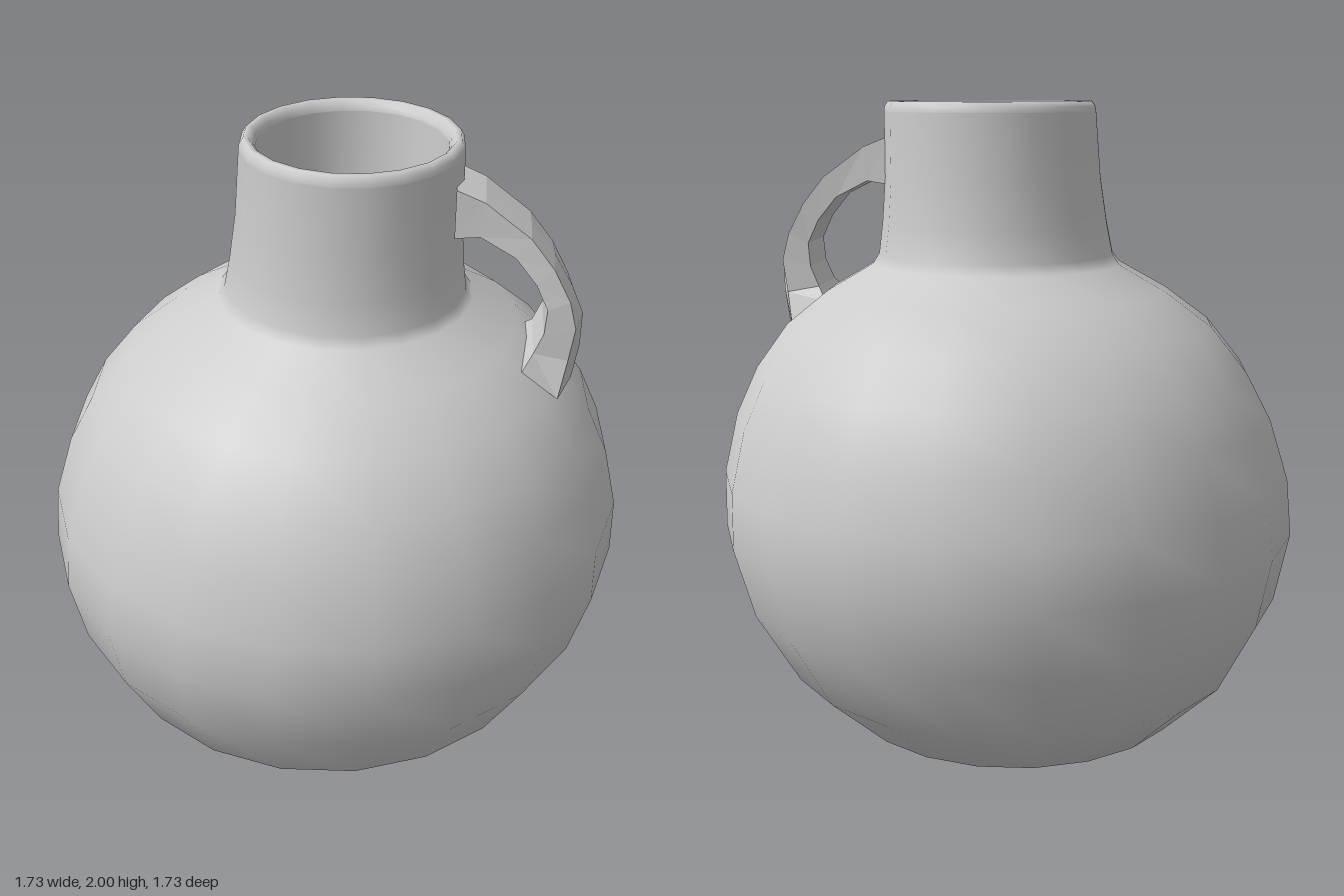
import * as THREE from 'three';

const SEGMENTS = 20;
const PHI = THREE.MathUtils.degToRad(12);

// Lathe a [radius, height] profile, leaning slightly toward +x with height
function leaningLathe(profile) {
  const points = profile.map(([r, y]) => new THREE.Vector2(r, y));
  const geometry = new THREE.LatheGeometry(points, SEGMENTS, PHI);
  const p = geometry.attributes.position;
  for (let i = 0; i < p.count; i++) {
    const y = p.getY(i);
    p.setX(i, p.getX(i) + 0.04 * (y - 1));
    if (y > 1.45) p.setZ(i, p.getZ(i) - 0.013);
  }
  return geometry;
}

// Loft equal-length rings of points, closing both ends
function loft(rings) {
  const n = rings[0].length;
  const index = [];
  for (let i = 0; i < rings.length - 1; i++) {
    for (let j = 0; j < n; j++) {
      const a = i * n + j, b = i * n + (j + 1) % n;
      index.push(a, a + n, b + n, a, b + n, b);
    }
  }
  const last = (rings.length - 1) * n;
  for (let j = 1; j < n - 1; j++) {
    index.push(0, j, j + 1, last, last + j + 1, last + j);
  }
  const geometry = new THREE.BufferGeometry();
  geometry.setAttribute('position', new THREE.Float32BufferAttribute(rings.flat(2), 3));
  geometry.setIndex(index);
  geometry.computeVertexNormals();
  return geometry;
}

export function createModel() {
  const model = new THREE.Group();
  model.name = 'jug';
  const smooth = new THREE.MeshStandardMaterial({ color: 0xcccccc });
  const faceted = new THREE.MeshStandardMaterial({ color: 0xcccccc, flatShading: true });
  const add = (name, geometry, material) => {
    const mesh = new THREE.Mesh(geometry, material);
    mesh.name = name;
    model.add(mesh);
  };

  // Round belly and flaring neck
  add('body', leaningLathe([
    [0, 0], [0.225, 0], [0.52, 0.13], [0.7, 0.3], [0.82, 0.52], [0.87, 0.73],
    [0.86, 0.9], [0.81, 1.08], [0.74, 1.22], [0.64, 1.35], [0.51, 1.45],
    [0.37, 1.53], [0.35, 1.56], [0.335, 1.65], [0.32, 1.78], [0.312, 1.97],
  ]), smooth);

  // Rounded lip
  add('rim', leaningLathe([
    [0.312, 1.97], [0.31, 1.985], [0.3, 2], [0.285, 2], [0.272, 1.985], [0.268, 1.97],
  ]), smooth);

  // Inside of the neck and its floor
  add('neckInside', leaningLathe([[0.268, 1.97], [0.26, 1.8], [0.248, 1.5]]), smooth);
  add('insideFloor', leaningLathe([[0.248, 1.5], [0, 1.5]]), smooth);

  // Handle sections: outer x, y, inner x, y, middle z, half width, ridge inset
  const sections = [
    [0.33, 1.9, 0.33, 1.76, 0.015, 0.1, 0],
    [0.41, 1.87, 0.4, 1.77, 0.025, 0.097, 0.02],
    [0.54, 1.78, 0.5, 1.72, 0.045, 0.096, 0.06],
    [0.61, 1.7, 0.56, 1.65, 0.06, 0.097, 0.1],
    [0.665, 1.61, 0.595, 1.58, 0.07, 0.099, 0.15],
    [0.7, 1.53, 0.59, 1.51, 0.072, 0.101, 0.22],
    [0.7, 1.43, 0.565, 1.45, 0.073, 0.104, 0.28],
    [0.685, 1.32, 0.535, 1.41, 0.07, 0.145, 0.3],
  ];
  const rings = sections.map(([ox, oy, ix, iy, z, w, inset]) => {
    const ex = THREE.MathUtils.lerp(ox, ix, inset);
    const ey = THREE.MathUtils.lerp(oy, iy, inset * 0.3);
    return [[ix, iy, z + w], [ex, ey, z + w], [ox, oy, z], [ex, ey, z - w], [ix, iy, z - w]];
  });
  add('handle', loft(rings), faceted);

  return model;
}
